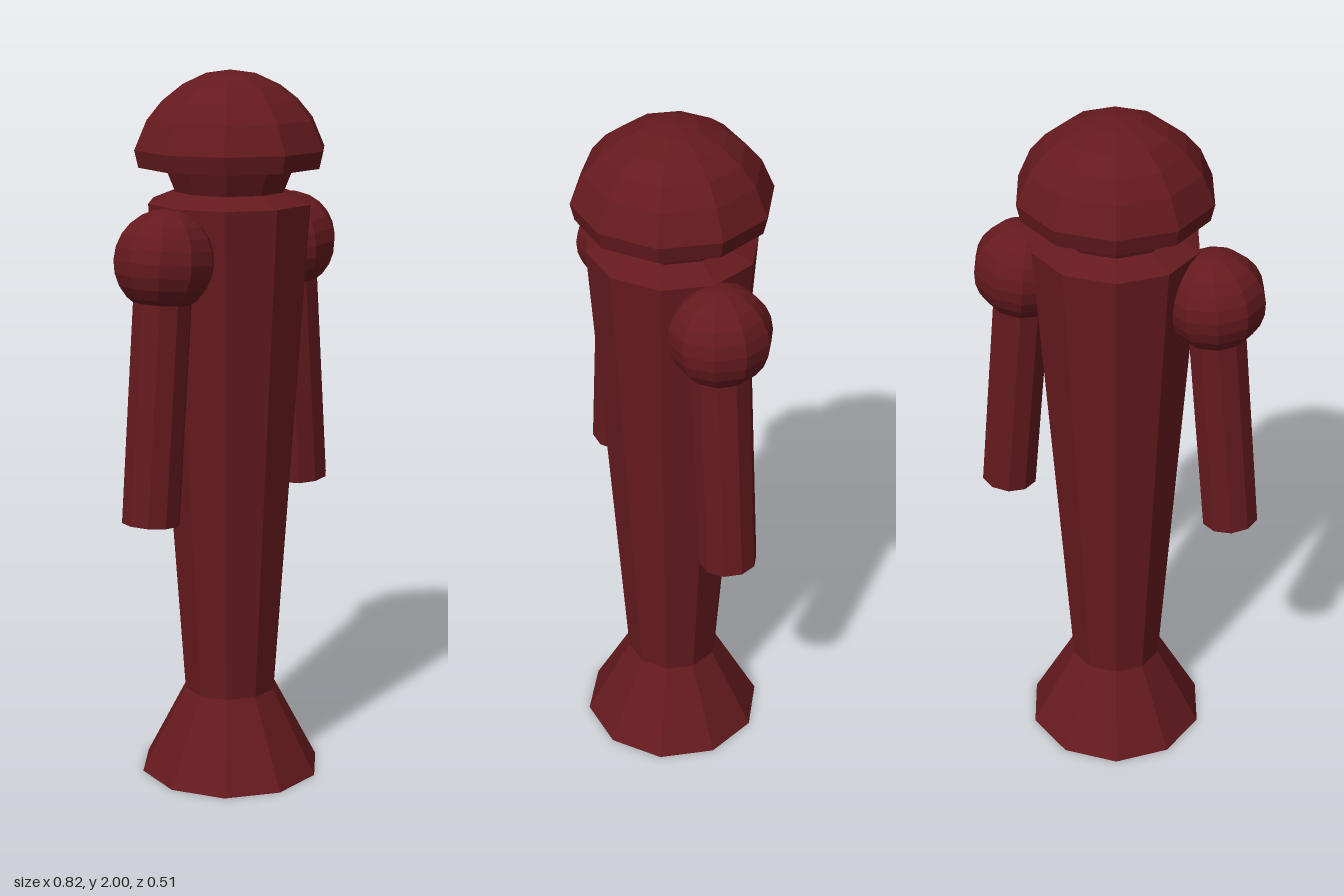
import * as THREE from 'three';

const SIDES = 10;
const CENTRE_X = 0.007;

export function createModel() {
  const model = new THREE.Group();
  model.name = 'figure';
  const material = new THREE.MeshStandardMaterial({ color: 0x651a1e, flatShading: true });

  const add = (name, geometry, parent = model) => {
    const mesh = new THREE.Mesh(geometry, material);
    mesh.name = name;
    parent.add(mesh);
    return mesh;
  };

  // Ten-sided turned part with a corner on the x axis; profile is [radius, y] from bottom to top
  const turned = (name, profile) => {
    const points = profile.map(([r, y]) => new THREE.Vector2(r, y));
    const mesh = add(name, new THREE.LatheGeometry(points, SIDES, Math.PI / 2));
    mesh.position.x = CENTRE_X;
    return mesh;
  };

  // Flared foot
  turned('base', [[0, 0], [0.26, 0], [0.132, 0.245], [0, 0.245]]);

  // Long body widening to the shoulders, with a bevelled top
  turned('body', [[0, 0.24], [0.132, 0.24], [0.23, 1.645], [0.155, 1.675], [0, 1.675]]);

  // Short neck flaring up into the helmet
  turned('neck', [[0, 1.665], [0.15, 1.665], [0.183, 1.745], [0, 1.75]]);

  // Domed helmet with a rim
  turned('helmet', [
    [0, 1.743], [0.256, 1.743], [0.267, 1.79], [0.232, 1.87],
    [0.19, 1.92], [0.14, 1.958], [0.07, 1.99], [0, 2],
  ]);

  // Arms hang from round shoulders and lean outwards
  for (const side of [-1, 1]) {
    const arm = new THREE.Group();
    arm.name = side > 0 ? 'leftArm' : 'rightArm';
    arm.position.set(side * 0.267, 1.512, 0);
    arm.rotation.z = side * 0.09;
    add('shoulder', new THREE.SphereGeometry(0.138, SIDES, 12), arm);
    const limb = new THREE.CylinderGeometry(0.08, 0.08, 0.71, SIDES);
    limb.rotateY(Math.PI / 2);
    limb.translate(0, -0.355, 0);
    add('limb', limb, arm);
    model.add(arm);
  }

  return model;
}
